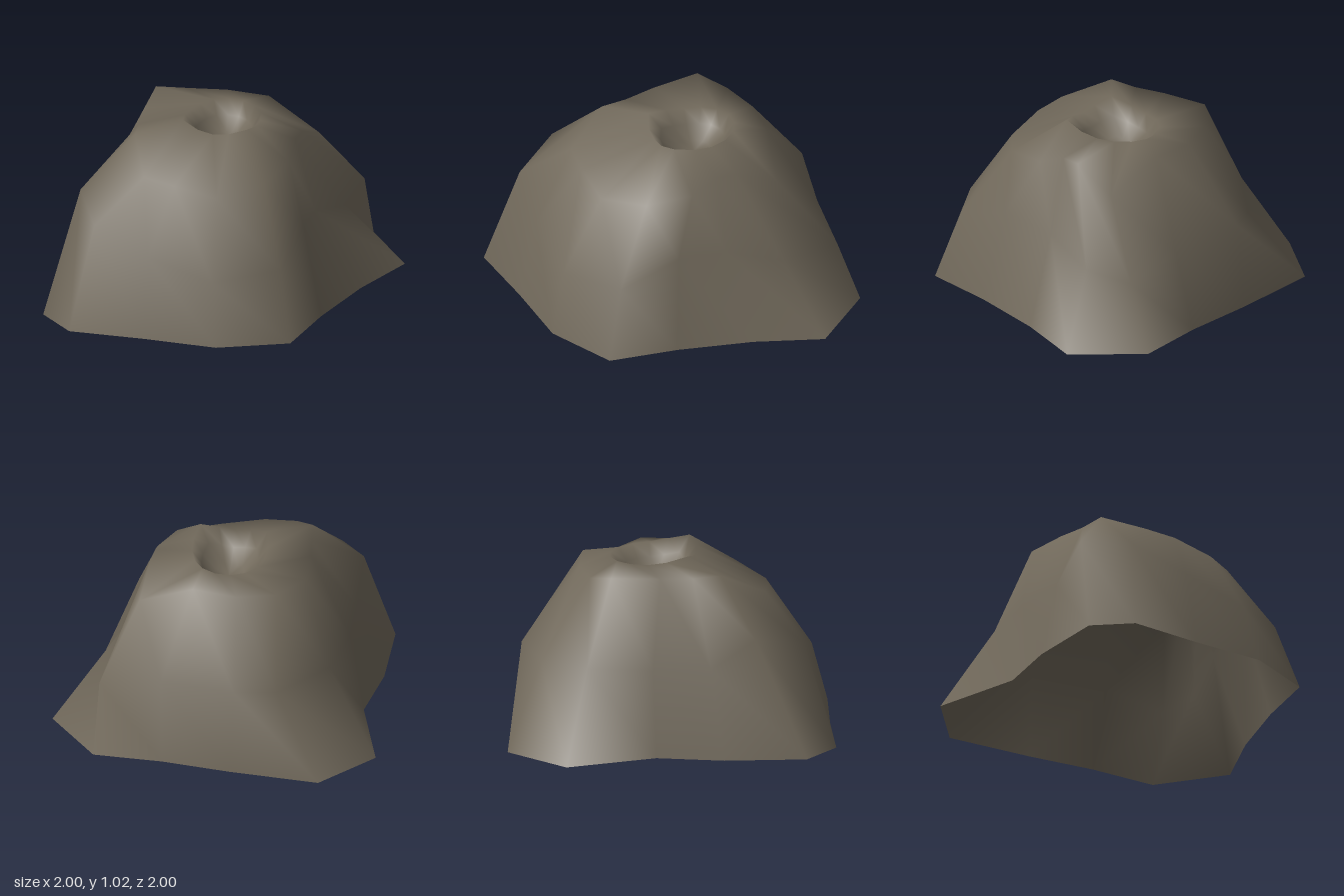
import * as THREE from 'three';

// One entry per ridge line, clockwise from the back: foot [x, z], flank [x, y, z], shoulder [x, y, z]
const ridges = [
  [[-0.5, -1], [-0.27, 0.46, -0.75], [-0.28, 0.945, -0.47]],
  [[0, -0.86], [-0.02, 0.5, -0.81], [-0.05, 0.94, -0.48]],
  [[0.39, -0.73], [0.39, 0.47, -0.62], [0.2, 0.95, -0.4]],
  [[0.78, -0.64], [0.74, 0.4, -0.51], [0.5, 0.8, -0.26]],
  [[1, -0.23], [0.66, 0.38, -0.18], [0.43, 0.92, -0.01]],
  [[0.78, 0.12], [0.52, 0.48, 0.12], [0.4, 0.92, 0.1]],
  [[0.59, 0.52], [0.48, 0.53, 0.43], [0.38, 0.85, 0.26]],
  [[0.45, 0.9], [0.38, 0.4, 0.77], [0.26, 0.81, 0.5]],
  [[0.03, 1], [0, 0.36, 0.9], [0, 0.77, 0.63]],
  [[-0.4, 0.92], [-0.38, 0.47, 0.82], [-0.25, 0.82, 0.59]],
  [[-0.83, 0.86], [-0.7, 0.6, 0.7], [-0.43, 0.84, 0.53]],
  [[-1, 0.65], [-0.81, 0.68, 0.39], [-0.51, 0.98, 0.25]],
  [[-0.92, 0.18], [-0.76, 0.5, 0.14], [-0.5, 0.97, 0.09]],
  [[-0.79, -0.19], [-0.71, 0.5, -0.19], [-0.49, 0.98, -0.1]],
  [[-0.84, -0.73], [-0.58, 0.5, -0.55], [-0.45, 0.99, -0.38]],
];
const pit = new THREE.Vector3(-0.02, 0.82, -0.04);

// Crater ring around the pit: scale 1 is the lip, with two raised knobs at the front
function craterRing(scale, height) {
  return ridges.map((_, i) => {
    const angle = THREE.MathUtils.degToRad(-114 + (360 / ridges.length) * i);
    const knob = Math.exp(-((i - 7) ** 2)) + Math.exp(-((i - 11) ** 2));
    const spread = scale * (1 + 0.25 * knob * scale);
    return [
      pit.x + Math.cos(angle) * 0.21 * spread,
      height + 0.045 * knob * scale,
      pit.z + Math.sin(angle) * 0.25 * spread,
    ];
  });
}

function moundGeometry() {
  const n = ridges.length;
  const rings = [
    ridges.map(([foot]) => [foot[0], 0, foot[1]]),
    ridges.map((r) => r[1]),
    ridges.map((r) => r[2]),
    craterRing(1, 0.975),     // lip
    craterRing(0.75, 0.9),    // crater wall
    craterRing(0.4, 0.835),   // crater floor
  ];
  const positions = [...rings.flat(2), ...pit.toArray()];

  const index = [];
  for (let i = 0; i < n; i++) {
    const j = (i + 1) % n;
    for (let k = 0; k < rings.length - 1; k++) {
      const a = k * n + i, b = k * n + j;
      index.push(a, a + n, b + n, a, b + n, b);
    }
    const last = (rings.length - 1) * n;
    index.push(last + i, rings.length * n, last + j);
  }
  const geometry = new THREE.BufferGeometry();
  geometry.setAttribute('position', new THREE.Float32BufferAttribute(positions, 3));
  geometry.setIndex(index);
  geometry.computeVertexNormals();
  return geometry;
}

export function createModel() {
  const group = new THREE.Group();
  group.name = 'rockMound';

  const stone = new THREE.MeshStandardMaterial({ color: 0x70685a, side: THREE.DoubleSide });
  stone.name = 'stone';

  // Hollow mound, open underneath, with a crater in the top
  const mound = new THREE.Mesh(moundGeometry(), stone);
  mound.name = 'crateredMound';
  group.add(mound);
  return group;
}
